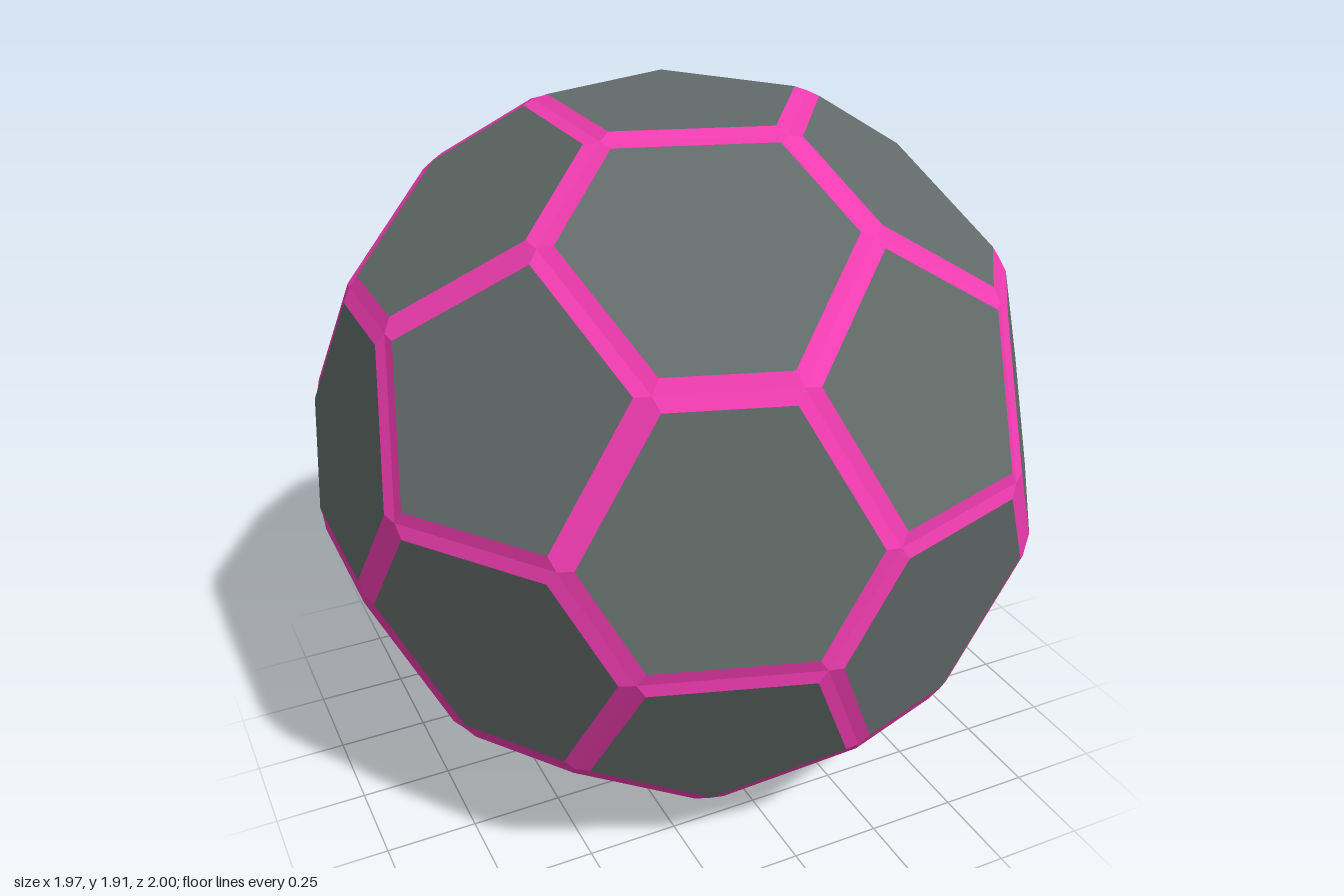
import * as THREE from 'three';

const EDGE = 1.235;   // edge of the icosahedron that gets truncated
const CUT = 0.364;    // share of each edge cut off at a corner
const INSET = 0.9;    // panel size relative to its cell
const RAISE = 0.015;  // panel height above the seam bottom

// Icosahedron corners: two poles and two staggered rings of five
function icosahedronCorners() {
  const R = 0.95106 * EDGE, ringY = R / Math.sqrt(5), ringR = 2 * ringY;
  const corners = [new THREE.Vector3(0, R, 0), new THREE.Vector3(0, -R, 0)];
  for (let i = 0; i < 10; i++) {
    const a = i * Math.PI / 5;
    corners.push(new THREE.Vector3(ringR * Math.cos(a), i % 2 ? -ringY : ringY, ringR * Math.sin(a)));
  }
  return corners;
}

// Sort a cell's corners counter-clockwise as seen from outside
function makeCell(points) {
  const center = points.reduce((s, p) => s.add(p), new THREE.Vector3()).divideScalar(points.length);
  const normal = center.clone().normalize();
  const u = points[0].clone().sub(center).normalize();
  const v = normal.clone().cross(u);
  const angle = p => {
    const d = p.clone().sub(center);
    return Math.atan2(d.dot(v), d.dot(u));
  };
  return { center, normal, points: [...points].sort((a, b) => angle(a) - angle(b)) };
}

function flatMesh(name, triangles, color) {
  const geometry = new THREE.BufferGeometry().setFromPoints(triangles);
  geometry.computeVertexNormals();
  const mesh = new THREE.Mesh(geometry, new THREE.MeshStandardMaterial({ color, flatShading: true }));
  mesh.name = name;
  return mesh;
}

export function createModel() {
  const V = icosahedronCorners();
  const near = (i, j) => i !== j && V[i].distanceTo(V[j]) < EDGE * 1.1;
  const cut = (i, j) => V[i].clone().lerp(V[j], CUT);
  const ids = V.map((_, i) => i);

  // Pentagons sit at the corners, hexagons on the triangles
  const pentagons = ids.map(i => makeCell(ids.filter(j => near(i, j)).map(j => cut(i, j))));
  const hexagons = [];
  for (let i = 0; i < 12; i++)
    for (let j = i + 1; j < 12; j++)
      for (let k = j + 1; k < 12; k++)
        if (near(i, j) && near(j, k) && near(i, k))
          hexagons.push(makeCell([cut(i, j), cut(j, i), cut(j, k), cut(k, j), cut(k, i), cut(i, k)]));

  // Each cell: a raised flat panel with sloping sides down to the seam
  const seams = [];
  const panels = cells => cells.flatMap(({ center, normal, points }) => {
    const top = center.clone().addScaledVector(normal, RAISE);
    const rim = points.map(p => p.clone().sub(center).multiplyScalar(INSET).add(top));
    return rim.flatMap((r, i) => {
      const n = (i + 1) % rim.length;
      seams.push(points[i], points[n], rim[n], points[i], rim[n], r);
      return [top, r, rim[n]];
    });
  });

  const group = new THREE.Group();
  group.name = 'panelledBall';
  group.add(
    flatMesh('pentagonPanels', panels(pentagons), 0x626b69),
    flatMesh('hexagonPanels', panels(hexagons), 0x626b69),
    flatMesh('seams', seams, 0xf03cb0)
  );
  group.children.forEach(m => m.geometry.translate(0, pentagons[0].center.y + RAISE, 0));
  return group;
}
